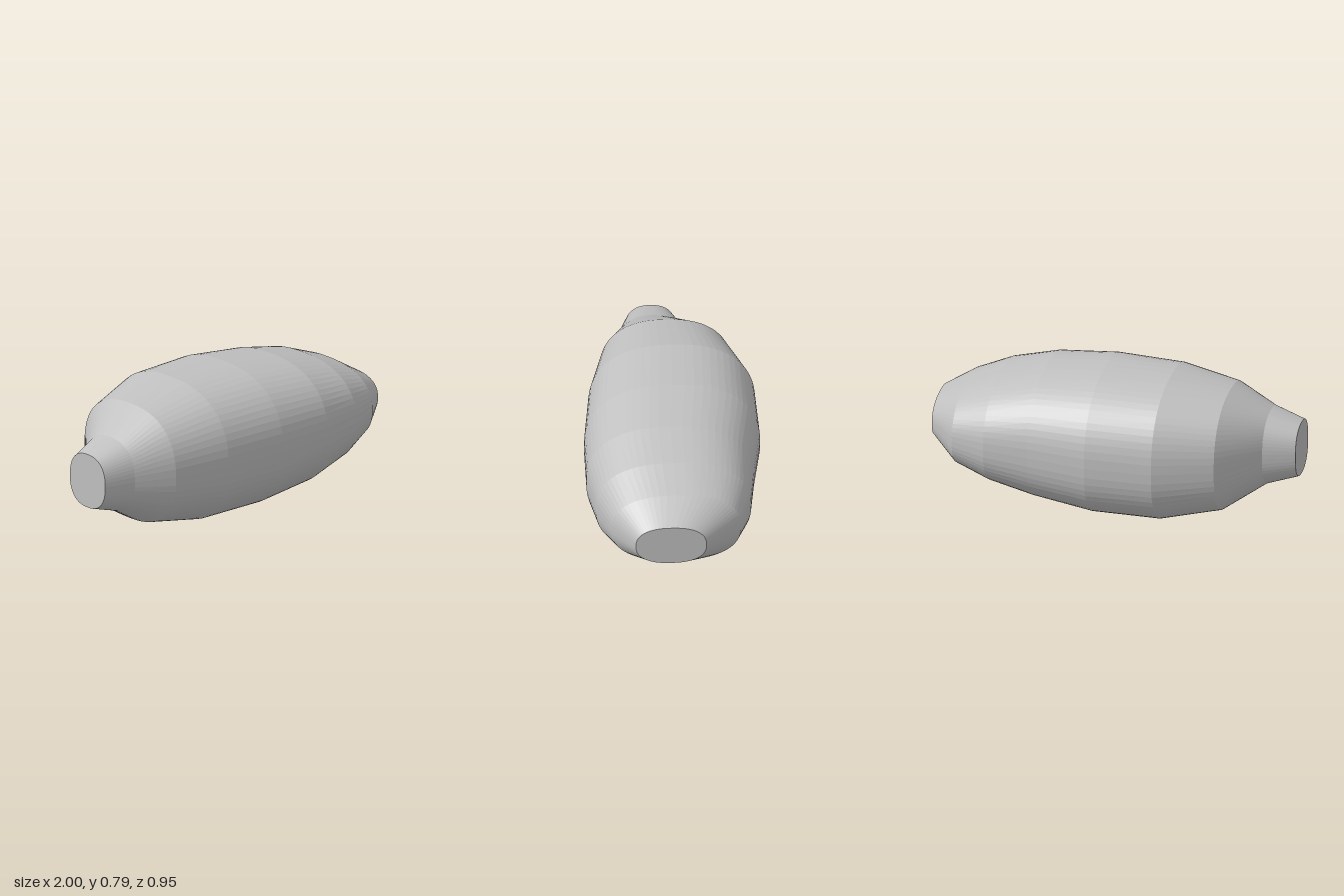
import * as THREE from 'three';

// Cross-sections along the body: x, bottom y, top y, back z, front z
const SECTIONS = [
  [-1.0, 0.245, 0.55, -0.07, 0.205],
  [-0.83, 0.19, 0.605, -0.128, 0.258],
  [-0.62, 0.065, 0.727, -0.355, 0.358],
  [-0.3, 0.0, 0.79, -0.467, 0.433],
  [0.07, 0.0, 0.79, -0.477, 0.472],
  [0.4, 0.04, 0.752, -0.43, 0.474],
  [0.65, 0.107, 0.69, -0.403, 0.434],
  [0.84, 0.183, 0.612, -0.34, 0.358],
  [1.0, 0.281, 0.511, -0.147, 0.234],
];
const SIDES = 64;
const POWER = 2 / 2.4; // slightly squared ellipse

function ringPoint([x, y0, y1, z0, z1], j) {
  const t = (j / SIDES) * Math.PI * 2;
  const soft = (v) => Math.sign(v) * Math.abs(v) ** POWER;
  return [
    x,
    (y0 + y1) / 2 + ((y1 - y0) / 2) * soft(Math.sin(t)),
    (z0 + z1) / 2 + ((z1 - z0) / 2) * soft(Math.cos(t)),
  ];
}

function meshFrom(name, points, material) {
  const geometry = new THREE.BufferGeometry();
  geometry.setAttribute('position', new THREE.Float32BufferAttribute(points.flat(), 3));
  geometry.computeVertexNormals();
  const mesh = new THREE.Mesh(geometry, material);
  mesh.name = name;
  return mesh;
}

// Faceted skin joining each cross-section to the next
function skinPoints() {
  const points = [];
  for (let i = 0; i < SECTIONS.length - 1; i++) {
    for (let j = 0; j < SIDES; j++) {
      const a = ringPoint(SECTIONS[i], j);
      const b = ringPoint(SECTIONS[i + 1], j);
      const c = ringPoint(SECTIONS[i + 1], j + 1);
      const d = ringPoint(SECTIONS[i], j + 1);
      points.push(a, b, c, a, c, d);
    }
  }
  return points;
}

// Flat end face, turned towards +x or -x
function capPoints(section, facesPlusX) {
  const [x, y0, y1, z0, z1] = section;
  const centre = [x, (y0 + y1) / 2, (z0 + z1) / 2];
  const points = [];
  for (let j = 0; j < SIDES; j++) {
    const p = ringPoint(section, j);
    const q = ringPoint(section, j + 1);
    points.push(centre, ...(facesPlusX ? [q, p] : [p, q]));
  }
  return points;
}

export function createModel() {
  const grey = new THREE.MeshStandardMaterial({ color: 0xc0c0c0 });
  grey.name = 'light grey';
  const model = new THREE.Group();
  model.name = 'taperedBody';
  model.add(
    meshFrom('bodySkin', skinPoints(), grey),
    meshFrom('leftEndCap', capPoints(SECTIONS[SECTIONS.length - 1], true), grey),
    meshFrom('rightEndCap', capPoints(SECTIONS[0], false), grey),
  );
  return model;
}
